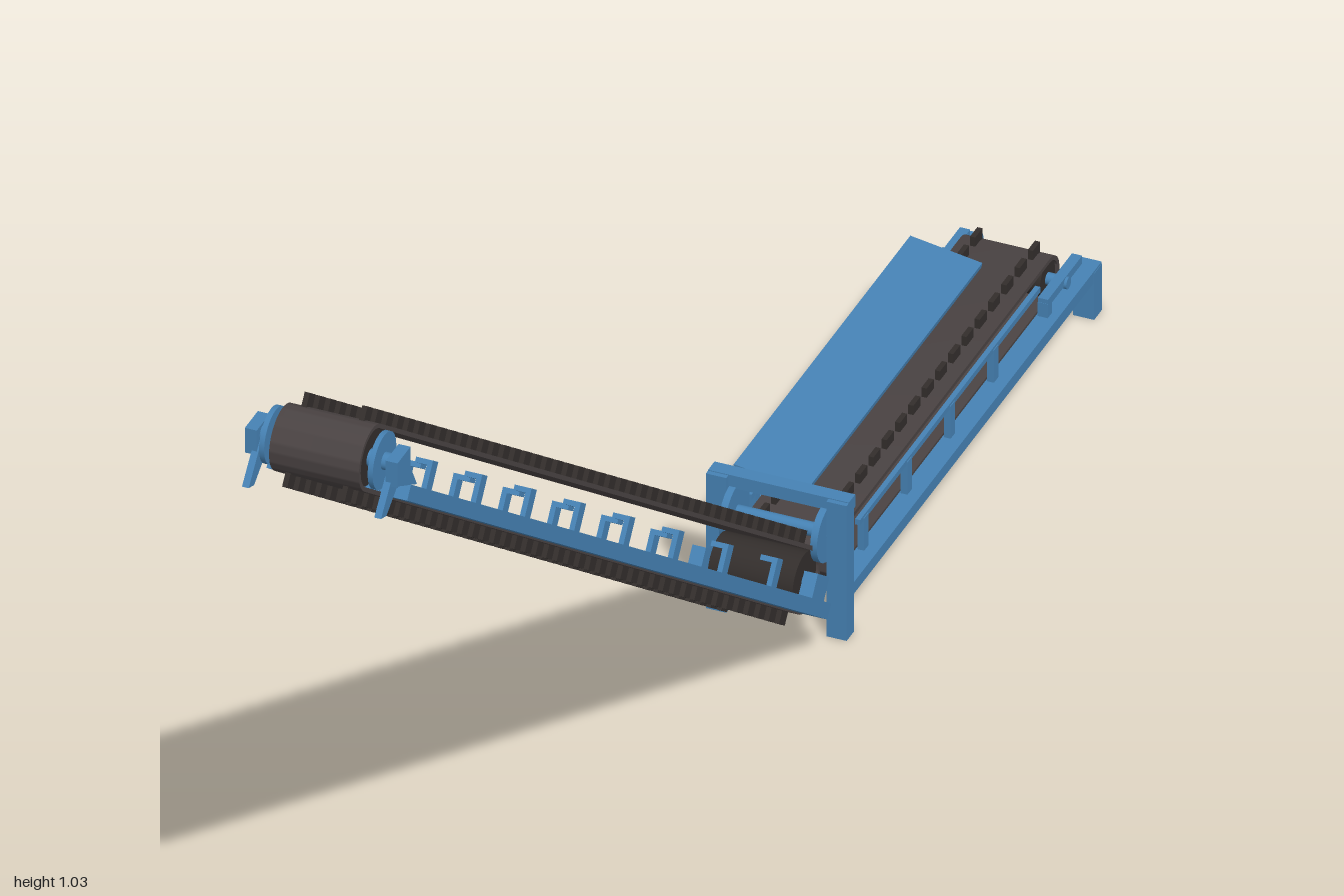
import * as THREE from 'three';
import { mergeGeometries, toCreasedNormals } from 'three/addons/utils/BufferGeometryUtils.js';

const mat = (name, color) => Object.assign(new THREE.MeshStandardMaterial({ color }), { name });

export function createModel() {
  const blue = mat('frame blue', 0x4682b4);
  const rubber = mat('belt rubber', 0x4a4343);
  const dark = mat('cleat black', 0x332e2c);
  const model = new THREE.Group();
  model.name = 'conveyor';

  const add = (parent, name, geo, material, x = 0, y = 0, z = 0) => {
    const m = new THREE.Mesh(geo, material);
    m.name = name;
    m.position.set(x, y, z);
    parent.add(m);
    return m;
  };
  const box = (p, name, m, w, h, d, x, y, z) =>
    add(p, name, new THREE.BoxGeometry(w, h, d), m, x, y, z);
  // cylinder lying along x
  const rod = (p, name, m, r, len, x, y, z) =>
    add(p, name, new THREE.CylinderGeometry(r, r, len, 24).rotateZ(Math.PI / 2), m, x, y, z);

  // outline of a belt running round two drums, seen from the side
  const loop = (path, length, r) => {
    path.moveTo(0, -r);
    path.lineTo(length, -r);
    path.absarc(length, 0, r, -Math.PI / 2, Math.PI / 2, false);
    path.lineTo(0, r);
    path.absarc(0, 0, r, Math.PI / 2, Math.PI * 1.5, false);
    return path;
  };

  // belt, end drums and rows of cleats, from z = 0 to z = length
  const belt = (parent, length, r, cleatHeight) => {
    const width = 0.106;
    const shape = loop(new THREE.Shape(), length, r);
    shape.holes.push(loop(new THREE.Path(), length, r - 0.005));
    let geo = new THREE.ExtrudeGeometry(shape, { depth: width, bevelEnabled: false, curveSegments: 16 });
    geo = toCreasedNormals(geo.translate(0, 0, -width / 2).rotateY(-Math.PI / 2), 0.6);
    add(parent, 'belt', geo, rubber);
    for (const z of [0, length]) rod(parent, 'drum', dark, r - 0.005, 0.1, 0, 0, z);

    const cleats = [];
    const n = Math.round(length / 0.0365);
    for (let i = 0; i <= n; i++)
      for (const x of [-0.034, 0.034])
        for (const s of [-1, 1])
          cleats.push(new THREE.BoxGeometry(0.006, cleatHeight, 0.02)
            .translate(x, s * (r + cleatHeight / 2 - 0.002), (i / n) * length));
    add(parent, 'cleats', mergeGeometries(cleats), dark);
  };

  // inclined conveyor
  const incline = new THREE.Group();
  incline.name = 'inclinedConveyor';
  const rise = 0.89, run = 1.205, length = Math.hypot(rise, run);
  incline.position.set(0, 0.095, -0.25);
  incline.rotation.x = -Math.atan2(rise, run);
  model.add(incline);
  belt(incline, length, 0.038, 0.017);
  for (const s of [-1, 1]) {
    box(incline, 'sideBeam', blue, 0.03, 0.018, 1.45, s * 0.068, -0.027, 0.715);
    // idler brackets
    for (let i = 0; i < 8; i++) {
      const z = 0.165 + i * 0.17;
      box(incline, 'idlerBracket', blue, 0.006, 0.03, 0.018, s * 0.072, -0.004, z);
      box(incline, 'idlerBracketTop', blue, 0.02, 0.006, 0.018, s * 0.065, 0.011, z);
    }
    box(incline, 'tailBearing', blue, 0.016, 0.035, 0.04, s * 0.066, -0.008, 0.01);
  }
  for (let i = 0; i < 8; i++)
    box(incline, 'crossMember', blue, 0.12, 0.01, 0.012, 0, -0.026, 0.165 + i * 0.17);
  rod(incline, 'tailShaft', blue, 0.008, 0.14, 0, 0, 0);

  // head shaft, flanges and drooping support arms
  const headY = 0.985, headZ = 0.955;
  rod(model, 'headShaft', blue, 0.01, 0.18, 0, headY, headZ);
  const armShape = new THREE.Shape([
    [0.9, 0.925], [0.93, 0.98], [0.965, 0.98], [1.0, 0.94], [0.985, 0.935], [0.955, 0.955],
  ].map(([z, y]) => new THREE.Vector2(z, y)));
  for (const s of [-1, 1]) {
    rod(model, 'headDisc', blue, 0.033, 0.006, s * 0.064, headY, headZ);
    box(model, 'headBearing', blue, 0.014, 0.032, 0.036, s * 0.083, headY - 0.003, headZ);
    const arm = new THREE.ExtrudeGeometry(armShape, { depth: 0.008, bevelEnabled: false });
    add(model, 'headArm', arm.translate(0, 0, -0.004).rotateY(-Math.PI / 2), blue, s * 0.078);
  }

  // level feed conveyor
  const feed = new THREE.Group();
  feed.name = 'feedConveyor';
  feed.position.set(0, 0.078, -0.925);
  model.add(feed);
  belt(feed, 0.59, 0.026, 0.014);

  for (const s of [-1, 1]) {
    box(model, 'feedRail', blue, 0.024, 0.015, 0.7, s * 0.07, 0.055, -0.65);
    box(model, 'rearLeg', blue, 0.025, 0.06, 0.022, s * 0.07, 0.03, -0.989);
    // posts and upper guide rail beside the belt
    for (let i = 0; i < 4; i++)
      box(model, 'feedPost', blue, 0.008, 0.045, 0.012, s * 0.064, 0.082, -0.38 - i * 0.12);
    box(model, 'guideRail', blue, 0.006, 0.007, 0.5, s * 0.064, 0.104, -0.615);
    // belt tensioner
    box(model, 'tensionerBar', blue, 0.012, 0.01, 0.095, s * 0.066, 0.081, -0.922);
    box(model, 'tensionerFoot', blue, 0.012, 0.025, 0.012, s * 0.066, 0.068, -0.88);
  }
  rod(model, 'feedTailShaft', blue, 0.007, 0.15, 0, 0.078, -0.925);

  // sloping cover over one half of the feed belt
  box(model, 'cover', blue, 0.086, 0.006, 0.49, -0.043, 0.127, -0.617).rotation.z = -0.16;
  for (const z of [-0.4, -0.62, -0.84])
    box(model, 'coverPost', blue, 0.006, 0.075, 0.012, -0.079, 0.094, z);

  // transfer gate between the two conveyors
  for (const s of [-1, 1]) {
    box(model, 'gatePost', blue, 0.024, 0.175, 0.02, s * 0.071, 0.0875, -0.3);
    rod(model, 'gateDisc', blue, 0.034, 0.008, s * 0.054, 0.128, -0.3);
  }
  box(model, 'gateBar', blue, 0.166, 0.016, 0.018, 0, 0.168, -0.305);
  rod(model, 'gateShaft', blue, 0.008, 0.14, 0, 0.128, -0.3);

  return model;
}
